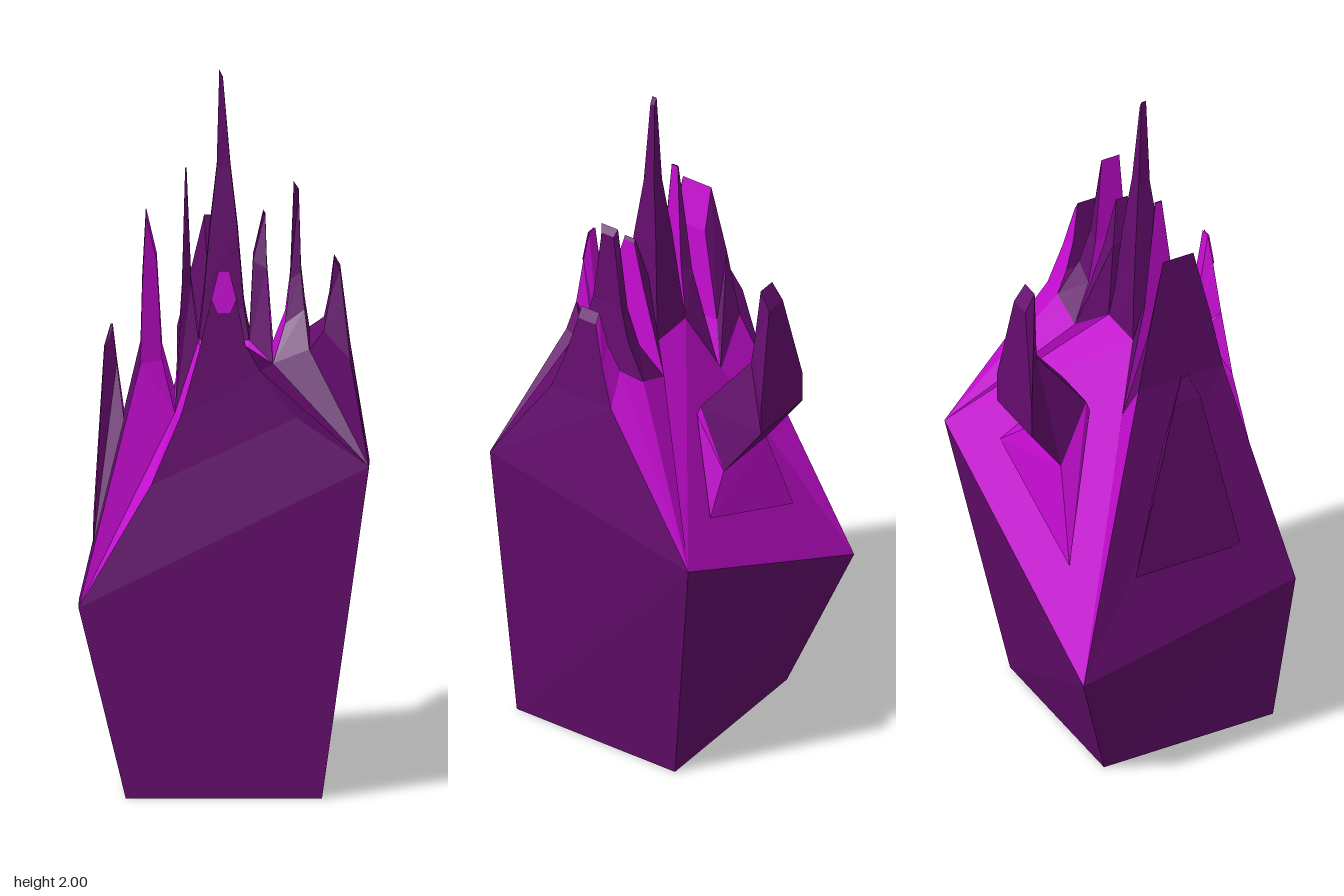
import * as THREE from 'three';

function makeMaterial(name, color) {
  const material = new THREE.MeshStandardMaterial({ color, flatShading: true, side: THREE.DoubleSide });
  material.name = name;
  return material;
}
const darkPurple = makeMaterial('darkPurple', 0x640c6d);
const brightMagenta = makeMaterial('brightMagenta', 0xc40cd0);

// Flat polygon as a fan of triangles, dropping repeated corners
function face(out, points) {
  const p = points.filter((q, i) => points.findIndex(r => r.every((v, k) => v === q[k])) === i);
  for (let i = 1; i < p.length - 1; i++) out.push(...p[0], ...p[i], ...p[i + 1]);
}

// Quads between two point rows of equal length
function strip(out, lower, upper) {
  for (let i = 0; i < lower.length - 1; i++) face(out, [lower[i], lower[i + 1], upper[i + 1], upper[i]]);
}

// Four-sided rings stacked upward; sides are 0 front, 1 left (+x), 2 back, 3 right (-x), 4 cap
function loft(dark, bright, rings, brightSides) {
  const pick = side => (brightSides.includes(side) ? bright : dark);
  for (let i = 0; i < rings.length - 1; i++) {
    const a = rings[i], b = rings[i + 1];
    for (let s = 0; s < 4; s++) {
      const t = (s + 1) % 4;
      face(pick(s), [a[s], a[t], b[t], b[s]]);
    }
  }
  face(pick(4), rings[rings.length - 1]);
}

// Ring from its two side edges, each [x, y, front z, back z]
const ring = ([x0, y0, f0, b0], [x1, y1, f1, b1]) =>
  [[x0, y0, f0], [x1, y1, f1], [x1, y1, b1], [x0, y0, b0]];

// A part holding one mesh for each colour it uses
function add(group, name, fill) {
  const part = new THREE.Group();
  part.name = name;
  const dark = [], bright = [];
  fill(dark, bright);
  for (const [points, material, suffix] of [[dark, darkPurple, 'Dark'], [bright, brightMagenta, 'Bright']]) {
    if (!points.length) continue;
    const geometry = new THREE.BufferGeometry();
    geometry.setAttribute('position', new THREE.Float32BufferAttribute(points, 3));
    geometry.computeVertexNormals();
    const mesh = new THREE.Mesh(geometry, material);
    mesh.name = name + suffix;
    part.add(mesh);
  }
  group.add(part);
}

export function createModel() {
  const group = new THREE.Group();
  group.name = 'crystalFlame';

  // Lower body: narrow foot widening to a slanted rim
  const foot = [[-0.27, 0, 0.34], [0.27, 0, 0.34], [0.27, 0, -0.19], [-0.27, 0, -0.19]];
  const rim = [[-0.4, 0.54, 0.34], [0.4, 0.94, 0.34], [0.4, 0.8, -0.325], [-0.4, 0.4, -0.325]];
  const [frontLow, frontHigh, backHigh, backLow] = rim;
  add(group, 'lowerBody', dark => {
    strip(dark, [...foot, foot[0]], [...rim, rim[0]]);
    face(dark, [...foot].reverse());
  });

  // Front wall rising to the small front spike, with a bright facet at its tip
  const wallLeft = [frontLow, [-0.2, 0.88, 0.305], [-0.12, 1.07, 0.295], [-0.07, 1.25, 0.287], [-0.035, 1.4, 0.28], [-0.015, 1.48, 0.275]];
  const wallRight = [frontHigh, [0.2, 1.07, 0.305], [0.1, 1.2, 0.292], [0.06, 1.27, 0.287], [0.035, 1.4, 0.28], [0.015, 1.48, 0.275]];
  add(group, 'frontWall', (dark, bright) => {
    strip(dark, wallRight, wallLeft);
    face(bright, [[-0.018, 1.36, 0.287], [0.018, 1.36, 0.287], [0.034, 1.4, 0.284],
      [0.015, 1.48, 0.279], [-0.015, 1.48, 0.279], [-0.034, 1.4, 0.284]]);
  });

  // Edges of the main ridge: x, y, front z, back z
  const ridge = [[-0.23, 1.2, 0.205, -0.06], [-0.135, 1.06, 0.205, -0.06], [-0.07, 1.25, 0.14, 0.01],
    [0.07, 1.25, 0.14, 0.01], [0.135, 1.2, 0.205, -0.06], [0.235, 1.24, 0.205, -0.06]];
  const ridgeFront = ridge.map(([x, y, f]) => [x, y, f]);
  const ridgeBack = ridge.map(([x, y, , b]) => [x, y, b]);

  // Valley between the front wall and the ridge, bright except on its +x end
  add(group, 'frontValley', (dark, bright) => {
    const valley = [-0.05, -0.03, -0.01, 0.01, 0.03, 0.05].map(x => [x, 1.19, 0.23 + Math.abs(x) * 0.2]);
    const outer = [...wallLeft, ...[...wallRight].reverse()];
    const inner = [frontLow, frontLow, ridgeFront[1], ...valley, ridgeFront[4], frontHigh, frontHigh];
    strip(bright, outer.slice(0, 9), inner.slice(0, 9));
    strip(dark, outer.slice(8), inner.slice(8));
    face(bright, [frontLow, ridgeFront[1], ridgeFront[0]]);
    face(dark, [frontHigh, ridgeFront[5], ridgeFront[4]]);
    strip(bright, [ridgeFront[1], valley[0], valley[5], ridgeFront[4]], ridgeFront.slice(1, 5));
  });

  // Slopes behind and beside the ridge
  add(group, 'backSlope', (dark, bright) => strip(bright,
    [backHigh, backHigh, backHigh, backHigh, backLow, backLow, backLow, backLow],
    [backHigh, ...[...ridgeBack].reverse(), backLow]));
  add(group, 'rightSlope', dark => face(dark, [backLow, frontLow, ridgeFront[0], ridgeBack[0]]));

  // Spikes along the ridge: bright sides, then rings from base to tip
  const spikes = {
    outerRightSpike: [[1],
      ring([-0.36, 0.68, 0.19, -0.14], [-0.275, 1.02, 0.12, -0.01]),
      ring([-0.33, 1.2, 0.08, 0], [-0.295, 1.17, 0.065, 0.015]),
      ring([-0.312, 1.27, 0.05, 0.03], [-0.306, 1.27, 0.05, 0.03])],
    rightSpike: [[0, 1, 4],
      ring(ridge[0], ridge[1]),
      ring([-0.225, 1.4, 0.165, -0.02], [-0.17, 1.2, 0.165, -0.025]),
      ring([-0.215, 1.6, 0.12, 0.025], [-0.185, 1.47, 0.12, 0.025])],
    innerRightSpike: [[1, 3],
      ring(ridge[1], ridge[2]),
      ring([-0.116, 1.38, 0.12, 0.02], [-0.09, 1.4, 0.1, 0.04]),
      ring([-0.107, 1.72, 0.08, 0.06], [-0.103, 1.72, 0.08, 0.06])],
    centreSpike: [[],
      ring(ridge[2], ridge[3]),
      ring([-0.055, 1.38, 0.125, 0.02], [0.055, 1.34, 0.125, 0.02]),
      ring([-0.04, 1.55, 0.11, 0.035], [0.038, 1.55, 0.11, 0.035]),
      ring([-0.02, 1.73, 0.09, 0.055], [0.018, 1.73, 0.09, 0.055]),
      ring([-0.013, 2, 0.082, 0.068], [-0.003, 1.98, 0.082, 0.068])],
    innerLeftSpike: [[1],
      ring(ridge[3], ridge[4]),
      ring([0.08, 1.47, 0.12, 0.03], [0.118, 1.45, 0.13, 0.02]),
      ring([0.108, 1.6, 0.09, 0.055], [0.114, 1.59, 0.09, 0.055])],
    leftSpike: [[3],
      ring(ridge[4], ridge[5]),
      ring([0.168, 1.3, 0.15, 0], [0.222, 1.34, 0.15, 0]),
      ring([0.182, 1.42, 0.125, 0.03], [0.212, 1.44, 0.125, 0.03]),
      ring([0.192, 1.68, 0.11, 0.055], [0.206, 1.66, 0.1, 0.06])],
    outerLeftSpike: [[2],
      [ridgeFront[5], frontHigh, backHigh, ridgeBack[5]],
      ring([0.275, 1.28, 0.15, -0.01], [0.348, 1.2, 0.17, -0.03]),
      ring([0.29, 1.36, 0.12, 0.02], [0.334, 1.32, 0.13, 0.01]),
      ring([0.303, 1.47, 0.1, 0.04], [0.32, 1.44, 0.1, 0.04])],
  };
  for (const [name, [brightSides, ...rings]] of Object.entries(spikes)) {
    add(group, name, (dark, bright) => loft(dark, bright, rings, brightSides));
  }

  // Horn bending backward out of the back slope, with a bright flared root
  const root = [[-0.07, 1.06, -0.125], [0.07, 1.06, -0.125], [0.2, 0.84, -0.26], [-0.2, 0.66, -0.26]];
  const neck = [[-0.068, 1.09, -0.135], [0.068, 1.09, -0.135], [0.1, 0.93, -0.235], [-0.105, 0.93, -0.235]];
  add(group, 'backHorn', (dark, bright) => {
    strip(bright, [...root, root[0]], [...neck, neck[0]]);
    loft(dark, bright, [
      neck,
      [[-0.04, 1.27, -0.275], [0.025, 1.27, -0.275], [0.07, 1.08, -0.34], [-0.13, 1.08, -0.34]],
      [[-0.045, 1.32, -0.28], [0.02, 1.32, -0.28], [0.07, 1.17, -0.34], [-0.13, 1.17, -0.34]],
      [[-0.055, 1.5, -0.29], [0, 1.5, -0.29], [0.005, 1.45, -0.322], [-0.06, 1.45, -0.322]],
    ], []);
  });

  return group;
}
